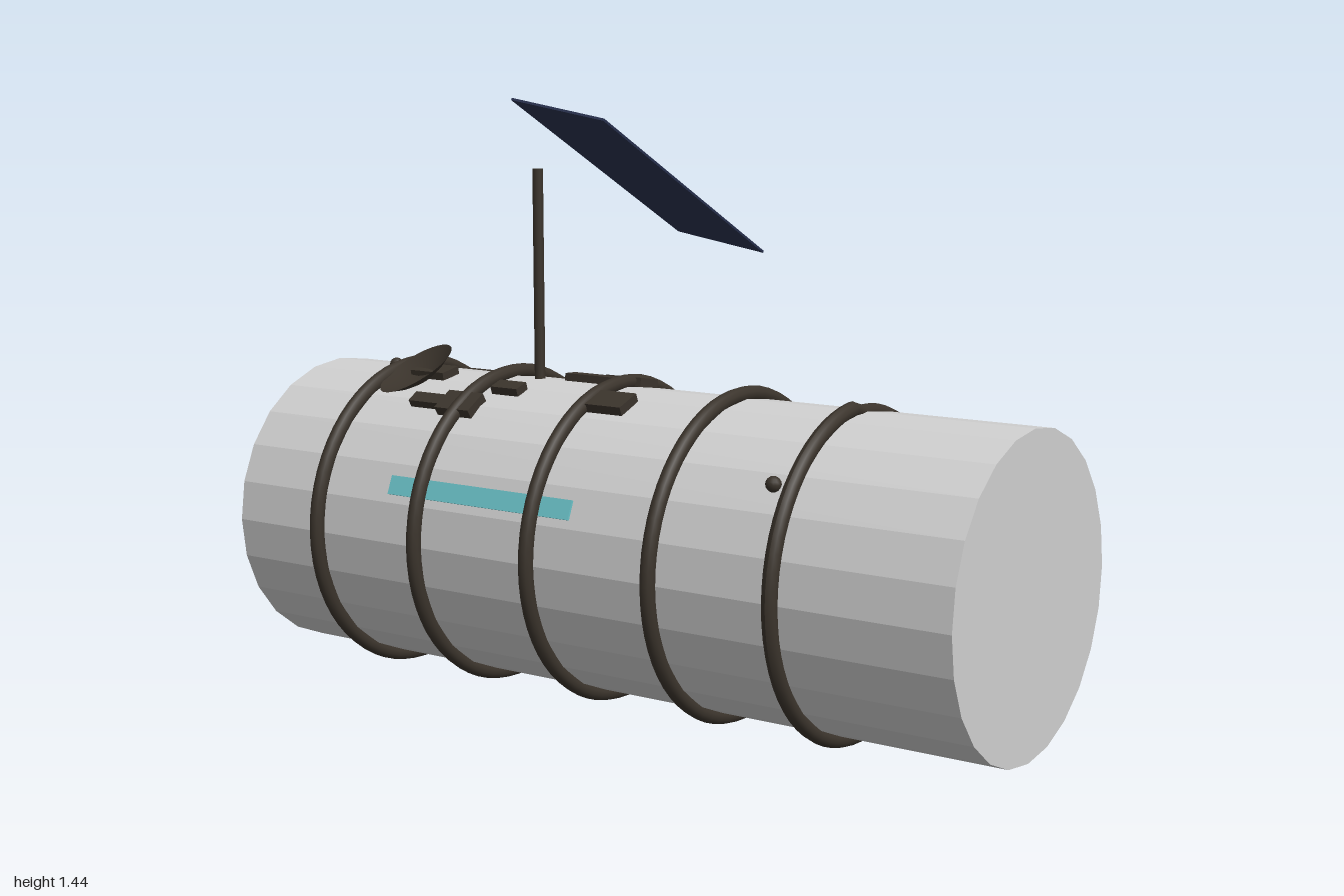
import * as THREE from 'three';

const CY = 0.4, CZ = 0.231, R = 0.368; // hull axis height, depth and radius

const mat = (name, color, side = THREE.FrontSide) => {
  const m = new THREE.MeshStandardMaterial({ color, side });
  m.name = name;
  return m;
};

export function createModel() {
  const hullGrey = mat('hullGrey', 0xd0d0d0);
  const darkMetal = mat('darkMetal', 0x3b342c, THREE.DoubleSide);
  const panelNavy = mat('panelNavy', 0x2b3452);
  const windowTeal = mat('windowTeal', 0x6cc4ca);

  const model = new THREE.Group();
  const add = (name, geo, material, x, y, z, parent = model) => {
    const m = new THREE.Mesh(geo, material);
    m.name = name;
    m.position.set(x, y, z);
    parent.add(m);
    return m;
  };

  // Faceted hull lying along x
  const hull = new THREE.CylinderGeometry(R, R, 2, 24).rotateZ(Math.PI / 2).toNonIndexed();
  hull.computeVertexNormals();
  add('hull', hull, hullGrey, 0, CY, CZ);

  // Hoops around the hull; the last one is sunk into the top rear
  [-0.73, -0.418, -0.08, 0.26, 0.575].forEach((x, i) => {
    const geo = new THREE.TorusGeometry(0.378, 0.018, 10, 64).rotateY(Math.PI / 2);
    if (i === 4) {
      const p = geo.attributes.position;
      for (let k = 0; k < p.count; k++) {
        const y = p.getY(k), z = p.getZ(k);
        if (y > 0 && z > -0.32 && z < 0) p.setXYZ(k, p.getX(k), y * 0.965, z * 0.965);
      }
      geo.computeVertexNormals();
    }
    add('hoop' + (i + 1), geo, darkMetal, x, CY, CZ);
  });

  // Hatch outline on the -x end
  add('hatchRing', new THREE.TorusGeometry(0.135, 0.004, 6, 40).rotateY(Math.PI / 2),
    darkMetal, -0.998, CY, CZ);

  // Plates lying on the hull, tilted to follow its curve
  const plate = (name, x0, x1, z, width, thick, material = darkMetal, r = 0.376) => {
    const a = Math.asin((z - CZ) / r);
    const m = add(name, new THREE.BoxGeometry(x1 - x0, thick, width), material,
      (x0 + x1) / 2, CY + r * Math.cos(a), z);
    m.rotation.x = a;
  };
  plate('rearBox', -0.73, -0.57, 0.018, 0.08, 0.024);
  plate('rearBoxUnderPanel', -0.45, -0.29, 0.02, 0.08, 0.024);
  plate('dishBase', -0.665, -0.56, 0.3, 0.06, 0.02);
  plate('armBar', -0.57, -0.42, 0.427, 0.035, 0.02);
  plate('armBlock', -0.475, -0.37, 0.427, 0.067, 0.024);
  plate('smallBlock', -0.375, -0.295, 0.348, 0.04, 0.02);
  plate('frontBlock', -0.075, 0.035, 0.365, 0.07, 0.022);
  plate('topBar', -0.255, -0.1, 0.21, 0.04, 0.02);
  plate('topBlock', -0.155, -0.05, 0.165, 0.072, 0.022);
  plate('windowStrip', -0.52, 0.022, 0.571, 0.046, 0.009, windowTeal, 0.366);

  // Pipe along the upper rear between the outer hoops
  add('rearPipe', new THREE.CylinderGeometry(0.011, 0.011, 1.32, 10).rotateZ(Math.PI / 2),
    darkMetal, -0.08, 0.637, -0.065);

  // Small knobs
  for (const [x, y, z] of [[-0.805, 0.765, 0.228], [0.525, 0.642, 0.515]])
    add('knob', new THREE.SphereGeometry(0.018, 12, 8), darkMetal, x, y, z);

  // Mast
  add('mast', new THREE.CylinderGeometry(0.013, 0.013, 0.53, 12), darkMetal, -0.333, 1.015, 0.23);

  // Dish: a shallow bowl leaning forward
  const profile = [[0, -0.035], [0.035, -0.031], [0.07, -0.018], [0.102, 0]]
    .map(([x, y]) => new THREE.Vector2(x, y));
  const dish = add('dish', new THREE.LatheGeometry(profile, 32), darkMetal, -0.62, 0.785, 0.362);
  dish.quaternion.setFromUnitVectors(new THREE.Vector3(0, 1, 0),
    new THREE.Vector3(-0.25, 0.86, 0.46).normalize());

  // Tilted solar panel
  const u = new THREE.Vector3(0.282, -0.047, 0), v = new THREE.Vector3(-0.063, -0.375, -0.81);
  const panel = add('solarPanel', new THREE.BoxGeometry(u.length(), v.length(), 0.006),
    panelNavy, -0.336, 1.235, -0.217);
  u.normalize();
  const n = u.clone().cross(v).normalize();
  panel.quaternion.setFromRotationMatrix(new THREE.Matrix4().makeBasis(u, n.clone().cross(u), n));

  return model;
}
